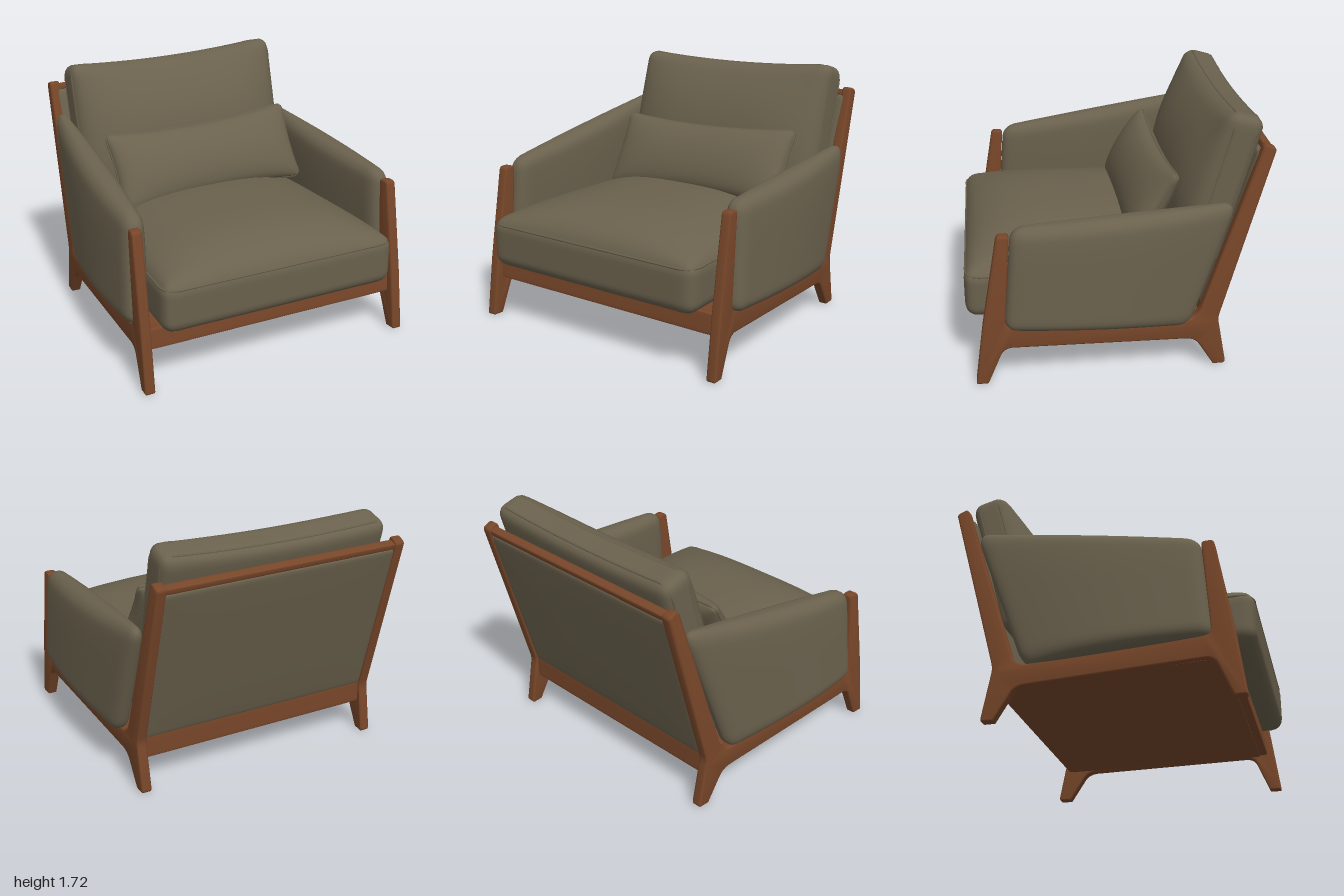
import * as THREE from 'three';
import { mergeVertices, toCreasedNormals } from 'three/addons/utils/BufferGeometryUtils.js';

const fabric = new THREE.MeshStandardMaterial({ color: 0x6a614d });
fabric.name = 'olive fabric';
const wood = new THREE.MeshStandardMaterial({ color: 0x774629 });
wood.name = 'walnut wood';

const TILT = -0.271; // lean of the backrest

function add(parent, name, geometry, material) {
  const mesh = new THREE.Mesh(geometry, material);
  mesh.name = name;
  parent.add(mesh);
  return mesh;
}

// Smooth rounded box; warp(p, u, v, w) reshapes it from coordinates in -1..1
function softBox(w, h, d, r, warp, n = 26) {
  let geo = new THREE.BoxGeometry(2, 2, 2, n, n, n);
  geo.deleteAttribute('normal');
  geo.deleteAttribute('uv');
  geo = mergeVertices(geo);
  const pos = geo.attributes.position;
  const half = new THREE.Vector3(w / 2, h / 2, d / 2);
  const p = new THREE.Vector3(), core = new THREE.Vector3();
  const inner = half.clone().subScalar(r);
  const ease = (t) => Math.sin(t * Math.PI / 2); // more rows near the edges
  for (let i = 0; i < pos.count; i++) {
    p.fromBufferAttribute(pos, i);
    p.set(ease(p.x), ease(p.y), ease(p.z)).multiply(half);
    core.copy(p).clamp(inner.clone().negate(), inner);
    p.sub(core).normalize().multiplyScalar(r).add(core);
    if (warp) warp(p, p.x / half.x, p.y / half.y, p.z / half.z);
    pos.setXYZ(i, p.x, p.y, p.z);
  }
  geo.computeVertexNormals();
  return geo;
}

// Closed piping around a rounded rectangle; place(a, b) gives the 3D point
function piping(w, h, r, place) {
  const shape = new THREE.Shape();
  const x = w / 2, y = h / 2;
  shape.absarc(x - r, y - r, r, 0, Math.PI / 2);
  shape.absarc(-x + r, y - r, r, Math.PI / 2, Math.PI);
  shape.absarc(-x + r, -y + r, r, Math.PI, Math.PI * 1.5);
  shape.absarc(x - r, -y + r, r, Math.PI * 1.5, Math.PI * 2);
  shape.closePath();
  const pts = shape.getSpacedPoints(80).slice(0, -1).map((q) => place(q.x, q.y));
  return new THREE.TubeGeometry(new THREE.CatmullRomCurve3(pts, true), 160, 0.008, 6, true);
}

// Side frame: front leg and post, rail, back leg and post in one outline
function sideFrame(s) {
  const sh = new THREE.Shape();
  const L = (z, y) => sh.lineTo(-z, y);
  const Q = (cz, cy, z, y) => sh.quadraticCurveTo(-cz, cy, -z, y);
  sh.moveTo(-0.92, 0);
  L(0.85, 0);
  L(0.765, 0.2); Q(0.745, 0.25, 0.69, 0.253);
  L(-0.44, 0.212); Q(-0.51, 0.21, -0.54, 0.16);
  L(-0.64, 0.0); L(-0.71, 0.0); Q(-0.725, 0.005, -0.72, 0.03);
  L(-0.668, 0.31); Q(-0.66, 0.35, -0.672, 0.39);
  L(-0.975, 1.49); Q(-0.985, 1.52, -0.96, 1.53);
  L(-0.92, 1.545); Q(-0.9, 1.545, -0.893, 1.52);
  L(-0.545, 0.44); Q(-0.515, 0.35, -0.43, 0.352);
  L(0.68, 0.4); Q(0.725, 0.4, 0.727, 0.45);
  L(0.685, 1.02); Q(0.685, 1.045, 0.71, 1.045);
  L(0.74, 1.045); Q(0.762, 1.045, 0.768, 1.02);
  L(0.872, 0.42); L(0.927, 0.02); Q(0.93, 0, 0.92, 0);
  const b = 0.012;
  const geo = new THREE.ExtrudeGeometry(sh, {
    depth: 0.07 - 2 * b, bevelThickness: b, bevelSize: b, bevelOffset: -b, bevelSegments: 3, curveSegments: 6,
  });
  geo.rotateY(Math.PI / 2).translate(s * 0.89 - 0.035 + b - 0.01, 0, 0);
  const pos = geo.attributes.position;
  for (let i = 0; i < pos.count; i++) pos.setX(i, pos.getX(i) + s * 0.05 * pos.getZ(i));
  geo.deleteAttribute('uv');
  return toCreasedNormals(geo, 0.6);
}

// Upholstered arm filling the side frame, s = side, back end at (backZ, backY)
function armPanel(s, backZ, backY, backX) {
  const mix = THREE.MathUtils.lerp;
  return softBox(0.2, 0.75, 1.4, 0.085, (p, u, v, w) => {
    const t = (w + 1) / 2, k = (v + 1) / 2;
    const bulge = 1 - w * w;
    const half = (0.055 + 0.02 * t + 0.045 * bulge) * (1 - 0.2 * Math.max(v, 0) ** 3);
    const centre = mix(backX, 0.915, t) + 0.005 * bulge - 0.012 * v;
    p.x = s * centre + u * half;
    p.y = mix(mix(0.335, 0.39, t), mix(backY, 1.085, t), k);
    p.z = mix(mix(-0.46, backZ, k), mix(0.735, 0.675, k), t);
  });
}

export function createModel() {
  const chair = new THREE.Group();
  chair.name = 'armchair';

  // Wooden frame
  const frame = new THREE.Group();
  frame.name = 'frame';
  chair.add(frame);
  add(frame, 'leftSideFrame', sideFrame(1), wood);
  add(frame, 'rightSideFrame', sideFrame(-1), wood);
  const rail = (name, w, h, d, y, z, tilt) => {
    const m = add(frame, name, softBox(w, h, d, 0.012, null, 8), wood);
    m.position.set(-0.01, y, z);
    m.rotation.x = tilt;
  };
  rail('frontRail', 1.82, 0.14, 0.08, 0.33, 0.8, -0.1);
  rail('backRail', 1.7, 0.165, 0.07, 0.297, -0.615, 0);
  rail('topBackRail', 1.66, 0.045, 0.062, 1.5, -0.938, TILT);
  const base = new THREE.BoxGeometry(1.79, 0.05, 1.4);
  const bp = base.attributes.position;
  for (let i = 0; i < bp.count; i++) {
    const z = bp.getZ(i) + 0.09;
    bp.setXYZ(i, bp.getX(i) * (1 + 0.05 * z), bp.getY(i) + 0.257 + 0.027 * z, z);
  }
  base.computeVertexNormals();
  add(frame, 'basePanel', base, wood).position.x = -0.01;

  // Upholstered back panel between the posts
  const back = add(chair, 'backPanel', softBox(1.67, 1.16, 0.09, 0.025, (p, u, v, w) => {
    p.z += 0.008 * w * (1 - u ** 4) * (1 - v ** 4);
  }), fabric);
  back.position.set(-0.01, 0.925, -0.762);
  back.rotation.x = TILT;

  // Arms
  add(chair, 'leftArm', armPanel(1, -0.745, 1.178, 0.885), fabric);
  add(chair, 'rightArm', armPanel(-1, -0.84, 1.355, 0.862), fabric);

  // Seat cushion, domed on top and narrower at the back
  const seat = new THREE.Group();
  seat.name = 'seatCushion';
  seat.position.set(-0.02, 0.57, 0.24);
  chair.add(seat);
  const taper = (z) => 1 + 0.045 * z / 0.735;
  add(seat, 'seatCushionBody', softBox(1.61, 0.34, 1.48, 0.085, (p, u, v, w) => {
    p.x *= taper(p.z);
    if (v > 0) p.y += 0.16 * v * (1 - Math.abs(u) ** 3) * (1 - w ** 4);
  }), fabric);
  for (const y of [-0.1, 0.13]) {
    add(seat, 'seatPiping', piping(1.59, 1.46, 0.09,
      (a, b) => new THREE.Vector3(a * taper(b), y, b)), fabric);
  }

  // Back cushion, full at the front with raised upper corners
  const backCushion = new THREE.Group();
  backCushion.name = 'backCushion';
  backCushion.position.set(0, 1.18, -0.675);
  backCushion.rotation.x = TILT;
  chair.add(backCushion);
  const lift = (x, v) => (v > 0 ? v * (0.035 * (x / 0.79) ** 2 + 0.013 * x / 0.79) : 0);
  add(backCushion, 'backCushionBody', softBox(1.59, 1.0, 0.24, 0.075, (p, u, v, w) => {
    if (w > 0) p.z += 0.14 * w * (1 - u ** 4) * (1 - v * v);
    p.y += lift(p.x, v);
  }), fabric);
  for (const z of [-0.07, 0.07]) {
    add(backCushion, 'backCushionPiping', piping(1.575, 0.985, 0.08,
      (a, b) => new THREE.Vector3(a, b + lift(a, b / 0.5), z)), fabric);
  }

  // Lumbar pillow, pinched along its edges
  const pillow = new THREE.Group();
  pillow.name = 'lumbarPillow';
  pillow.position.set(0.025, 1.045, -0.245);
  pillow.rotation.set(-0.52, 0, 0.03);
  chair.add(pillow);
  const pinch = (x, y, u, v) => [x * (1 - 0.03 * (1 - v * v)), y * (1 - 0.14 * (1 - u * u))];
  add(pillow, 'pillowBody', softBox(1.42, 0.56, 0.25, 0.05, (p, u, v) => {
    [p.x, p.y] = pinch(p.x, p.y, u, v);
    p.z *= 0.12 + 0.88 * Math.sqrt(Math.max(0, (1 - u ** 4) * (1 - v * v)));
  }), fabric);
  add(pillow, 'pillowPiping', piping(1.42, 0.56, 0.05, (a, b) => {
    const [x, y] = pinch(a, b, a / 0.71, b / 0.28);
    return new THREE.Vector3(x, y, 0);
  }), fabric);

  return chair;
}
